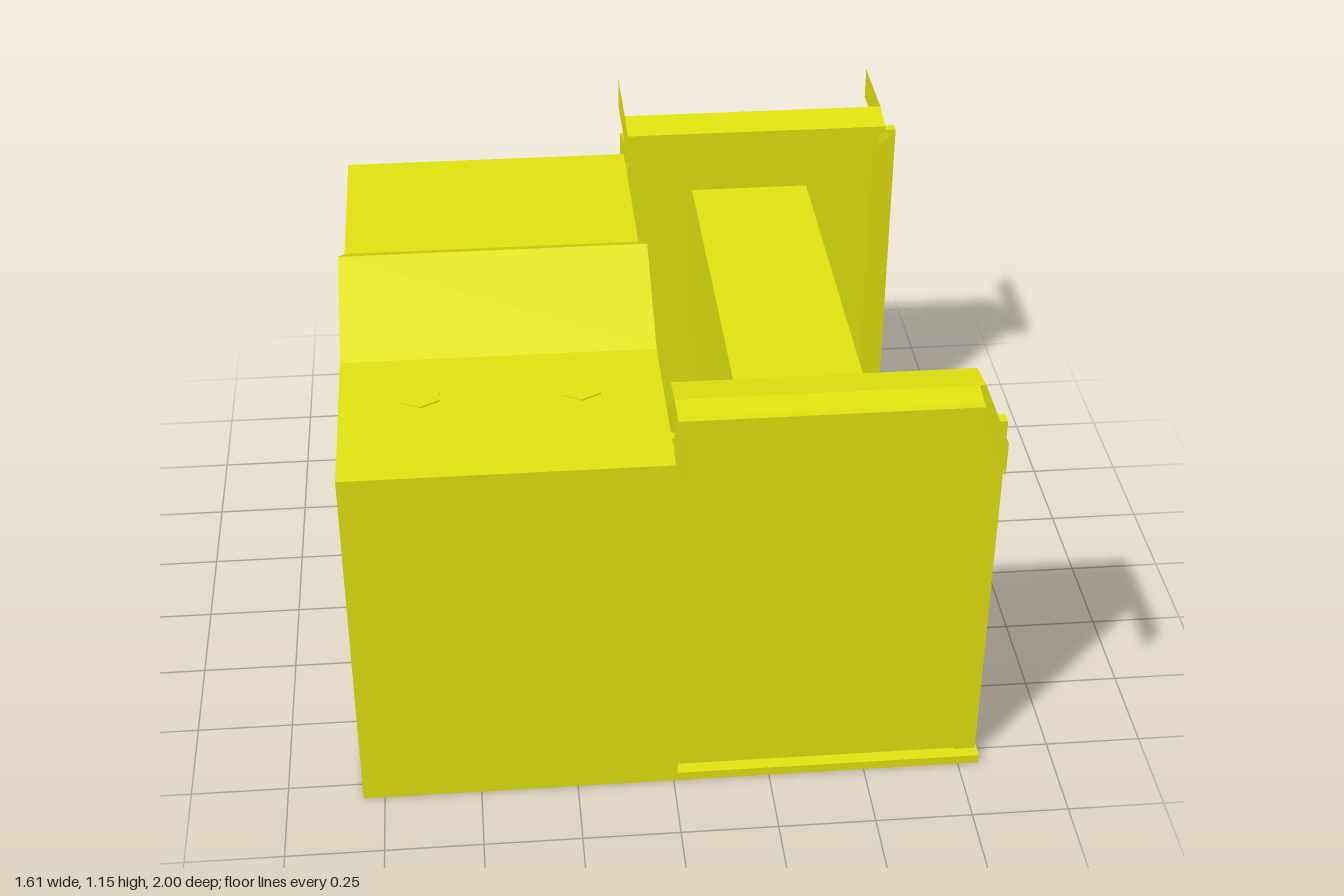
import * as THREE from 'three';

const material = new THREE.MeshStandardMaterial({ color: 0xe2e210, side: THREE.DoubleSide });

export function createModel() {
  const model = new THREE.Group();

  function add(name, geometry) {
    const mesh = new THREE.Mesh(geometry, material);
    mesh.name = name;
    model.add(mesh);
  }

  // Box given by its two corners
  function box(name, x0, x1, y0, y1, z0, z1) {
    const g = new THREE.BoxGeometry(x1 - x0, y1 - y0, z1 - z0);
    g.translate((x0 + x1) / 2, (y0 + y1) / 2, (z0 + z1) / 2);
    add(name, g);
  }

  // Solid profile of [z, y] points run along x
  function prism(name, profile, x0, x1) {
    const shape = new THREE.Shape(profile.map(([z, y]) => new THREE.Vector2(z, y)));
    const g = new THREE.ExtrudeGeometry(shape, { depth: x1 - x0, bevelEnabled: false });
    g.rotateY(-Math.PI / 2);
    g.translate(x1, 0, 0);
    add(name, g);
  }

  // Skin over rows of points; closed joins the ends of each row
  function skin(rows, closed) {
    const n = rows[0].length;
    const index = [];
    for (let r = 0; r < rows.length - 1; r++) {
      for (let i = 0; i < (closed ? n : n - 1); i++) {
        const j = (i + 1) % n;
        const a = r * n + i, b = r * n + j, c = a + n, d = b + n;
        index.push(a, b, d, a, d, c);
      }
    }
    const g = new THREE.BufferGeometry();
    g.setAttribute('position', new THREE.Float32BufferAttribute(rows.flat(2), 3));
    g.setIndex(index);
    g.computeVertexNormals();
    return g;
  }

  function flat(geometry) {
    const g = geometry.toNonIndexed();
    g.computeVertexNormals();
    return g;
  }

  // Thin folded sheet: [z, y] profile, listed front to back, run along x
  function folded(name, profile, x0, x1) {
    const rows = [x0, x1].map((x) => profile.map(([z, y]) => [x, y, z]));
    add(name, flat(skin(rows.reverse(), false)));
  }

  const rect = (x0, x1, y0, y1, z) => [[x0, y0, z], [x1, y0, z], [x1, y1, z], [x0, y1, z]];

  // Floor sheet
  const floor = new THREE.PlaneGeometry(1.61, 1.61);
  floor.rotateX(Math.PI / 2);
  add('floor', floor);

  // Closed half: front column, rear wall and its foot
  box('frontColumn', -0.805, 0, 0, 1, 0.58, 0.805);
  box('rearWall', -0.805, 0, 0, 1, -0.805, -0.775);
  prism('rearFoot', [[-0.58, 0], [-0.69, 0.12], [-0.78, 0.12], [-0.78, 0]], -0.8, 0);

  // Thin roof with a central ridge, open at both sides
  folded('roof', [[0.805, 1], [0.28, 1], [0, 1.15], [-0.28, 1], [-0.805, 1]], -0.805, 0);

  // Inner housing under the ridge, flaring out to the rear wall
  box('innerHousing', -0.73, -0.36, 0.52, 0.92, -0.775, 0.46);
  add('housingFlare', flat(skin([
    rect(-0.79, -0.02, 0.12, 0.995, -0.775),
    rect(-0.73, -0.36, 0.52, 0.92, -0.585),
  ], true)));

  // Hex bolts on the floor and hanging from the roof
  function bolt(name, x, z, y0, y1) {
    const g = flat(new THREE.CylinderGeometry(0.056, 0.056, y1 - y0, 6));
    g.translate(x, (y0 + y1) / 2, z);
    add(name, g);
  }
  for (const x of [-0.605, -0.205]) {
    bolt('roofBolt', x, 0.45, 0.86, 1.003);
    for (const z of [-0.45, 0.45]) bolt('floorBolt', x, z, 0, 0.025);
  }

  // Front panel, set back between a jamb, a sill and a side post
  box('frontPanel', 0, 0.745, 0.025, 1.1, 0.75, 0.77);
  box('frontJamb', 0, 0.01, 0, 1.06, 0.75, 0.805);
  box('frontPost', 0.745, 0.8, 0.025, 1.06, 0.745, 0.775);
  box('frontSill', 0, 0.805, 0, 0.025, 0.74, 0.805);

  // Rear panel: outer frame tapering backwards
  add('rearPanelFrame', flat(skin([
    rect(0, 0.745, 0.025, 1, -0.94),
    rect(0, 0.8, 0.025, 1.05, -0.775),
    rect(0.01, 0.735, 0.13, 1, -0.77),
  ], true)));

  // Softly shaded recess in the back of the rear panel
  add('rearRecess', skin([
    rect(0.37, 0.37, 0.57, 0.57, -0.78),
    rect(0.08, 0.66, 0.22, 0.92, -0.78),
    rect(0, 0.745, 0.025, 1, -0.94),
  ], true));

  // Inner face of the rear panel
  const inner = new THREE.PlaneGeometry(0.725, 0.87);
  inner.translate(0.3725, 0.565, -0.77);
  add('rearPanelInnerFace', inner);

  // Rear post, sill and head strip
  box('rearPost', 0.745, 0.8, 0.025, 1.06, -0.805, -0.775);
  box('rearSill', 0, 0.805, 0, 0.025, -0.805, -0.74);
  box('rearHead', 0, 0.745, 1, 1.1, -0.77, -0.75);

  // Arm reaching forward from the rear panel
  box('arm', 0.2, 0.54, 0.45, 0.89, -0.77, 0.29);

  // Open channel caps above both panels, each with two thin outward tabs
  for (const [side, s] of [['front', 1], ['rear', -1]]) {
    const channel = [[0.75, 1.15], [0.65, 1.135], [0.65, 1.115], [0.75, 1.1]];
    folded(side + 'Cap', channel.map(([z, y]) => [s * z, y]), 0, 0.745);
    for (const x of [0, 0.745]) {
      // Tab with the pointed end of the channel
      const outline = [[1, 1.06], [1, 1.15], ...channel, [0.75, 1.06]];
      const shape = new THREE.Shape(outline.map(([z, y]) => new THREE.Vector2(s * z, y)));
      const tab = new THREE.ShapeGeometry(shape);
      tab.rotateY(-Math.PI / 2);
      tab.translate(x, 0, 0);
      add(side + 'Tab', tab);
    }
  }

  return model;
}
